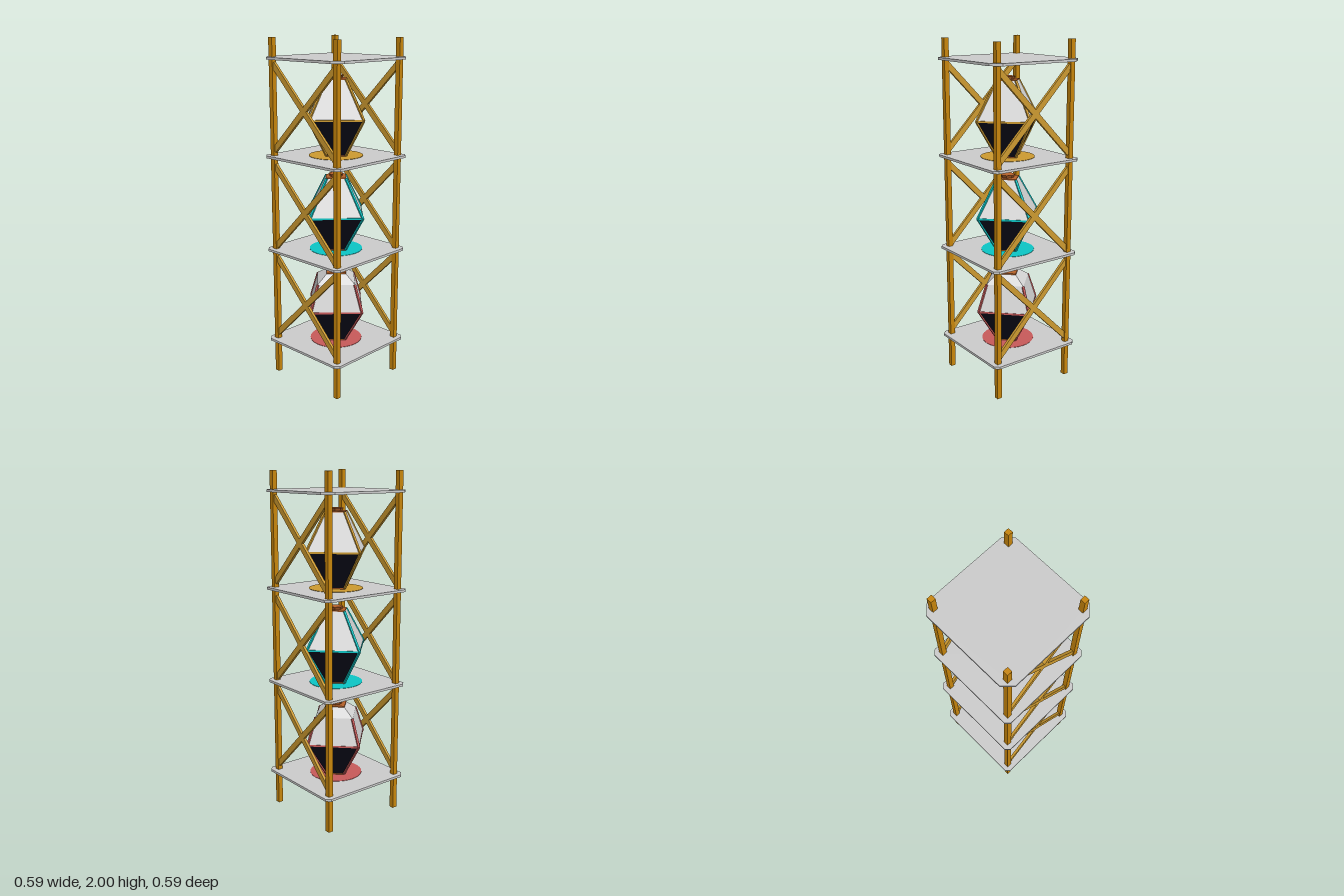
import * as THREE from 'three';

const paint = (name, color) => {
  const m = new THREE.MeshStandardMaterial({ color });
  m.name = name;
  return m;
};

export function createModel() {
  const root = new THREE.Group();
  root.name = 'vesselTower';

  const postGold = paint('post gold', 0xc8860c);
  const braceGold = paint('brace gold', 0xcd9a30);
  const shelfGrey = paint('shelf grey', 0xcccccc);
  const shellGrey = paint('shell grey', 0xd8d8d8);
  const dark = paint('dark base', 0x0a0a18);
  const copper = paint('copper', 0xb5622a);
  const cyan = paint('cyan accent', 0x0cc6c6);
  const red = paint('red accent', 0xc85a5a);

  const add = (parent, name, geometry, material, x = 0, y = 0, z = 0) => {
    const mesh = new THREE.Mesh(geometry, material);
    mesh.name = name;
    mesh.position.set(x, y, z);
    parent.add(mesh);
    return mesh;
  };

  // Faceted ring between two heights; corners lie on the x and z axes when n = 4
  const frustum = (parent, name, material, r0, y0, r1, y1, n = 4) => {
    const g = new THREE.CylinderGeometry(r1, r0, y1 - y0, n).toNonIndexed();
    g.computeVertexNormals();
    return add(parent, name, g, material, 0, (y0 + y1) / 2, 0);
  };

  // Corner posts
  for (const x of [-0.248, 0.248]) {
    for (const z of [-0.248, 0.248]) {
      add(root, 'cornerPost', new THREE.BoxGeometry(0.029, 2, 0.029), postGold, x, 1, z);
    }
  }

  // Shelves with clipped corners
  const shelf = (y, h, c) => {
    const k = h - c;
    const outline = new THREE.Shape([
      [h, -k], [h, k], [k, h], [-k, h], [-h, k], [-h, -k], [-k, -h], [k, -h],
    ].map(([a, b]) => new THREE.Vector2(a, b)));
    const g = new THREE.ExtrudeGeometry(outline, { depth: 0.014, bevelEnabled: false });
    g.rotateX(-Math.PI / 2);
    add(root, 'shelf', g, shelfGrey, 0, y - 0.007, 0);
  };
  shelf(1.888, 0.296, 0.051);
  for (const y of [0.211, 0.781, 1.337]) shelf(y, 0.292, 0.024);

  // Crossed braces on both sides of each bay
  for (const y of [0.495, 1.045, 1.615]) {
    for (const x of [-0.248, 0.248]) {
      for (const s of [-1, 1]) {
        const brace = add(root, 'crossBrace',
          new THREE.BoxGeometry(0.016, 0.033, 0.68), braceGold, x, y, 0);
        brace.rotation.x = s * Math.PI / 4;
      }
    }
  }

  // Faceted vessel: profile is a list of [radius, height], index 1 is the waist
  const vessel = (name, profile, accent, ridgeEnd) => {
    const group = new THREE.Group();
    group.name = name;
    root.add(group);
    const [bottom, waist] = profile;
    const top = profile[profile.length - 1];

    // Body
    frustum(group, 'darkBase', dark, ...bottom, ...waist);
    for (let i = 1; i < profile.length - 1; i++) {
      frustum(group, 'paleShell', shellGrey, ...profile[i], ...profile[i + 1]);
    }

    // Foot, lid and stopper
    frustum(group, 'foot', copper, 0.08, bottom[1] - 0.006, 0.083, bottom[1] + 0.003);
    frustum(group, 'lid', copper, 0.081, top[1] - 0.003, 0.081, top[1] + 0.004);
    frustum(group, 'stopper', copper, 0.034, top[1] + 0.002, 0.044, top[1] + 0.021, 8);

    // Waist band
    frustum(group, 'waistBand', accent, 0.217, waist[1] - 0.005, 0.217, waist[1] + 0.005);

    // Accent strips along the four ridges
    for (let q = 0; q < 4; q++) {
      const ridge = new THREE.Group();
      ridge.name = 'ridgeStrips';
      ridge.rotation.y = q * Math.PI / 2;
      group.add(ridge);
      for (let i = 0; i < ridgeEnd; i++) {
        const [r0, y0] = profile[i];
        const [r1, y1] = profile[i + 1];
        const strip = add(ridge, 'ridgeStrip',
          new THREE.BoxGeometry(0.014, Math.hypot(r1 - r0, y1 - y0), 0.009),
          accent, 0, (y0 + y1) / 2, (r0 + r1) / 2 - 0.003);
        strip.rotation.x = Math.atan2(r1 - r0, y1 - y0);
      }
    }

    // Flat glow patch on the shelf
    const glow = new THREE.CylinderGeometry(0.155, 0.155, 0.003, 32);
    add(group, 'glowPatch', glow, accent, 0, bottom[1] - 0.0055, 0);
  };

  vessel('topVessel', [[0.08, 1.35], [0.215, 1.56], [0.08, 1.775]], braceGold, 2);
  vessel('middleVessel', [[0.08, 0.794], [0.215, 1.006], [0.08, 1.218]], cyan, 2);
  vessel('bottomVessel',
    [[0.08, 0.224], [0.215, 0.435], [0.155, 0.595], [0.075, 0.648]], red, 2);

  return root;
}
